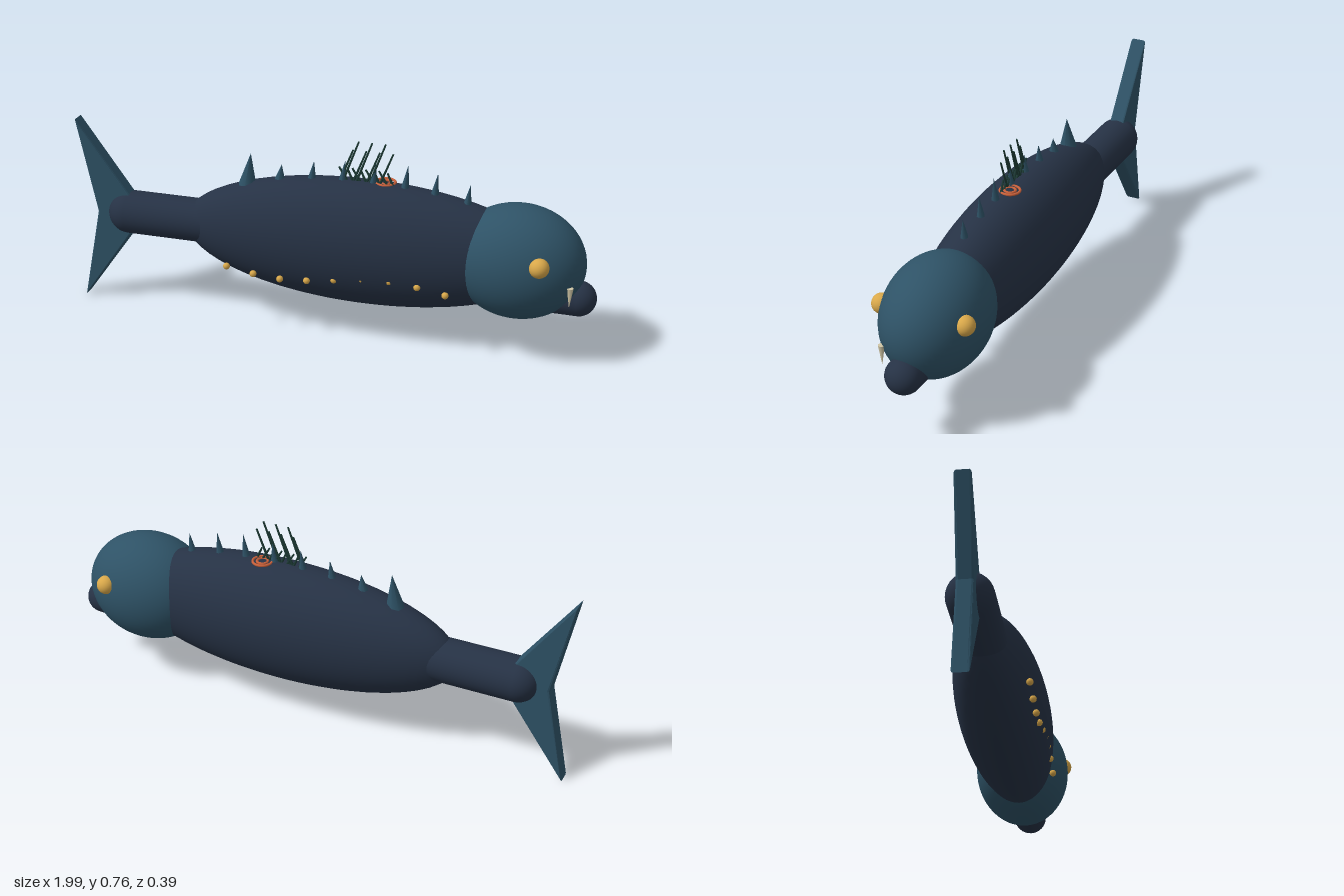
import * as THREE from 'three';

const mat = (name, color, flatShading = false) => {
  const m = new THREE.MeshStandardMaterial({ color, flatShading });
  m.name = name;
  return m;
};

export function createModel() {
  const root = new THREE.Group();
  root.name = 'fish';
  const navy = mat('navy skin', 0x263245);
  const teal = mat('teal skin', 0x2e5266);
  const gold = mat('gold', 0xd9a84a);
  const bone = mat('bone', 0xd0c6a6);
  const weed = mat('dark green', 0x1c3a34);
  const rust = mat('orange', 0xc8603a);

  const add = (name, geo, material, x, y, z = 0) => {
    const m = new THREE.Mesh(geo, material);
    m.name = name;
    m.position.set(x, y, z);
    root.add(m);
    return m;
  };
  const ball = (name, material, x, y, z, rx, ry = rx, rz = rx, seg = 48) =>
    add(name, new THREE.SphereGeometry(1, seg, seg / 2).scale(rx, ry, rz), material, x, y, z);

  // Capsule lying along x between two outer ends
  const capsule = (name, material, x0, x1, y, z, r) =>
    add(name, new THREE.CapsuleGeometry(r, x1 - x0 - 2 * r, 12, 32).rotateZ(Math.PI / 2),
      material, (x0 + x1) / 2, y, z);

  // Thin rod between two points in the middle plane
  const rod = (name, x0, y0, x1, y1, z, r) => {
    const dx = x1 - x0, dy = y1 - y0;
    const m = add(name, new THREE.CylinderGeometry(r * 0.7, r, Math.hypot(dx, dy), 6), weed,
      (x0 + x1) / 2, (y0 + y1) / 2, z);
    m.rotation.z = -Math.atan2(dx, dy);
  };

  // Main masses
  ball('body', navy, 0.13, 0.38, 0, 0.7, 0.24, 0.17, 64);
  ball('head', teal, 0.71, 0.38, 0, 0.245, 0.214, 0.185, 64);
  capsule('tailStem', navy, -0.88, -0.3, 0.382, 0, 0.083);
  capsule('lowerJaw', navy, 0.7, 1, 0.265, 0.007, 0.065);

  // Forked tail fin with softened edges
  const b = 0.008;
  const fin = new THREE.Shape();
  fin.moveTo(-0.99, 0.735);
  fin.lineTo(-0.74, 0.38);
  fin.lineTo(-0.99, 0.025);
  fin.lineTo(-0.913, 0.38);
  fin.closePath();
  const finGeo = new THREE.ExtrudeGeometry(fin, {
    depth: 0.06 - 2 * b, bevelThickness: b, bevelSize: b, bevelSegments: 2,
  });
  add('tailFin', finGeo, teal, 0, 0, -0.03 + b);

  // Eyes
  for (const s of [1, -1]) ball(s > 0 ? 'eyeFront' : 'eyeBack', gold, 0.81, 0.434, s * 0.157, 0.036, 0.036, 0.036, 32);

  // Single tooth, point down
  add('tooth', new THREE.ConeGeometry(0.012, 0.077, 8).rotateX(Math.PI), bone, 0.915, 0.307, 0.101);

  // Wavy row of glowing beads along one flank
  for (let i = 0; i < 9; i++) {
    ball('bead', gold, -0.355 + i * 0.104, 0.277 - 0.024 * Math.sin(i * 0.8), 0.146, 0.013, 0.013, 0.013, 16);
  }

  // Back spines: x, tip height, radius
  const spines = [
    [-0.31, 0.678, 0.036], [-0.187, 0.648, 0.024], [-0.063, 0.675, 0.019], [0.055, 0.69, 0.018],
    [0.17, 0.69, 0.018], [0.29, 0.7, 0.018], [0.4, 0.68, 0.018], [0.52, 0.65, 0.018],
  ];
  for (const [x, tip, r] of spines) {
    const base = 0.36 + 0.24 * Math.sqrt(1 - ((x - 0.13) / 0.7) ** 2);
    const h = tip - base;
    const m = add('backSpine', new THREE.ConeGeometry(r, h, 8), teal, x, base + h / 2);
    m.rotation.z = -0.12;
  }

  // Tuft of leaning stalks with short crossing shoots
  for (let i = 0; i < 4; i++) {
    const x = 0.04 + i * 0.05;
    if (i < 3) rod('tallStalk', x + 0.012, 0.61, x + 0.072, 0.77, 0.003, 0.005);
    rod('shortStalk', x, 0.61, x + 0.05, 0.735, 0.001, 0.005);
    rod('shoot', x + 0.028, 0.615, x - 0.002, 0.665, 0.002, 0.005);
    rod('shoot', x + 0.05, 0.615, x + 0.03, 0.66, 0.002, 0.005);
  }

  // Coiled orange rings resting on the back
  for (const r of [0.036, 0.02]) {
    add('coil', new THREE.TorusGeometry(r, 0.005, 8, 32).rotateX(Math.PI / 2), rust, 0.208, 0.617, -0.018);
  }

  return root;
}
